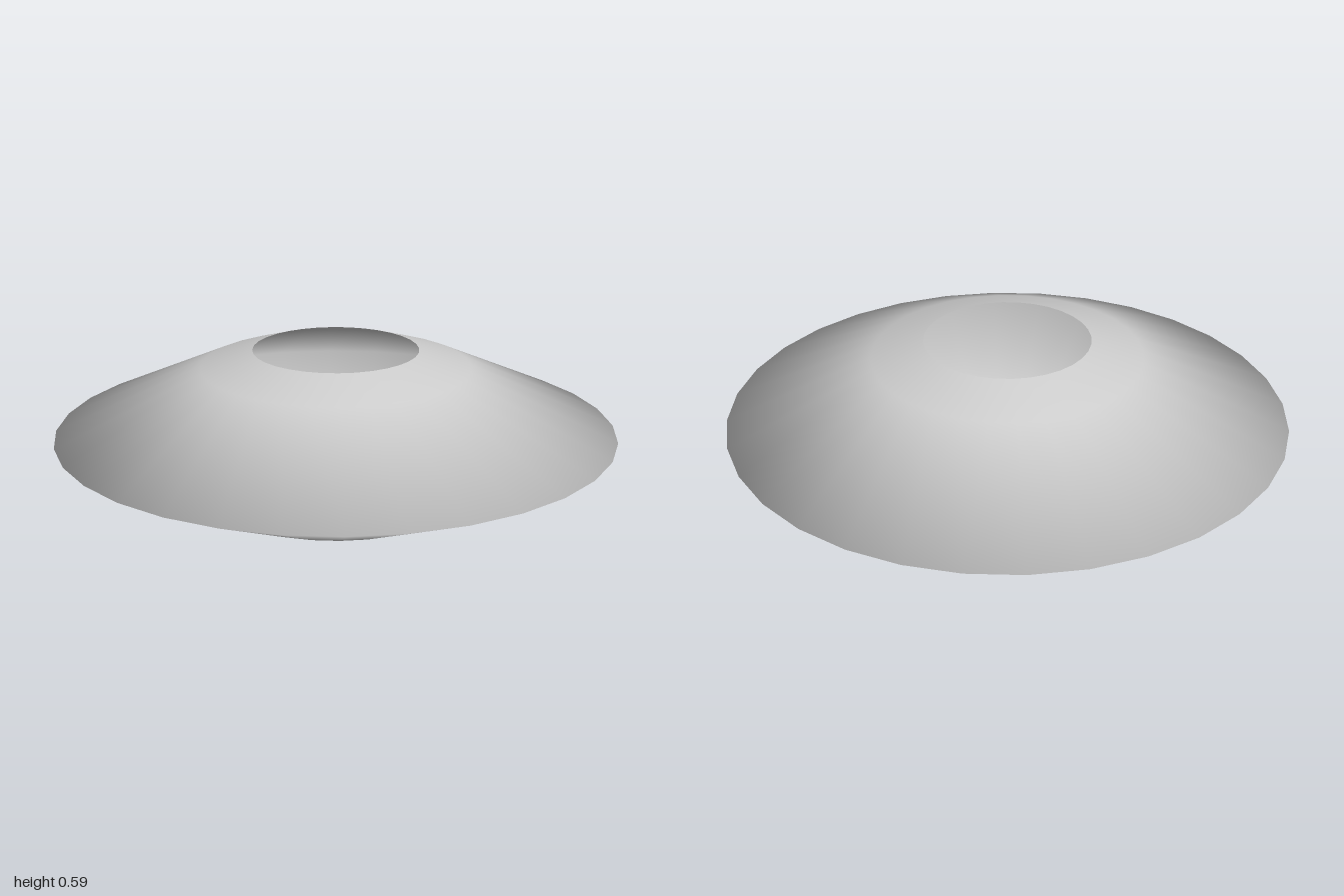
import * as THREE from 'three';

export function createModel() {
  const group = new THREE.Group();
  group.name = 'shade';

  // Half profile from the lower opening, out to the rim, up to the upper opening
  const profile = [
    [0.295, 0], [0.48, 0.06], [1, 0.295], [0.48, 0.53], [0.295, 0.59],
  ].map(([r, y]) => new THREE.Vector2(r, y));

  // Thin open shell, smooth across the rim
  const shell = new THREE.Mesh(
    new THREE.LatheGeometry(profile, 32),
    new THREE.MeshStandardMaterial({ color: 0xcccccc, side: THREE.DoubleSide })
  );
  shell.name = 'shadeShell';
  group.add(shell);

  return group;
}
